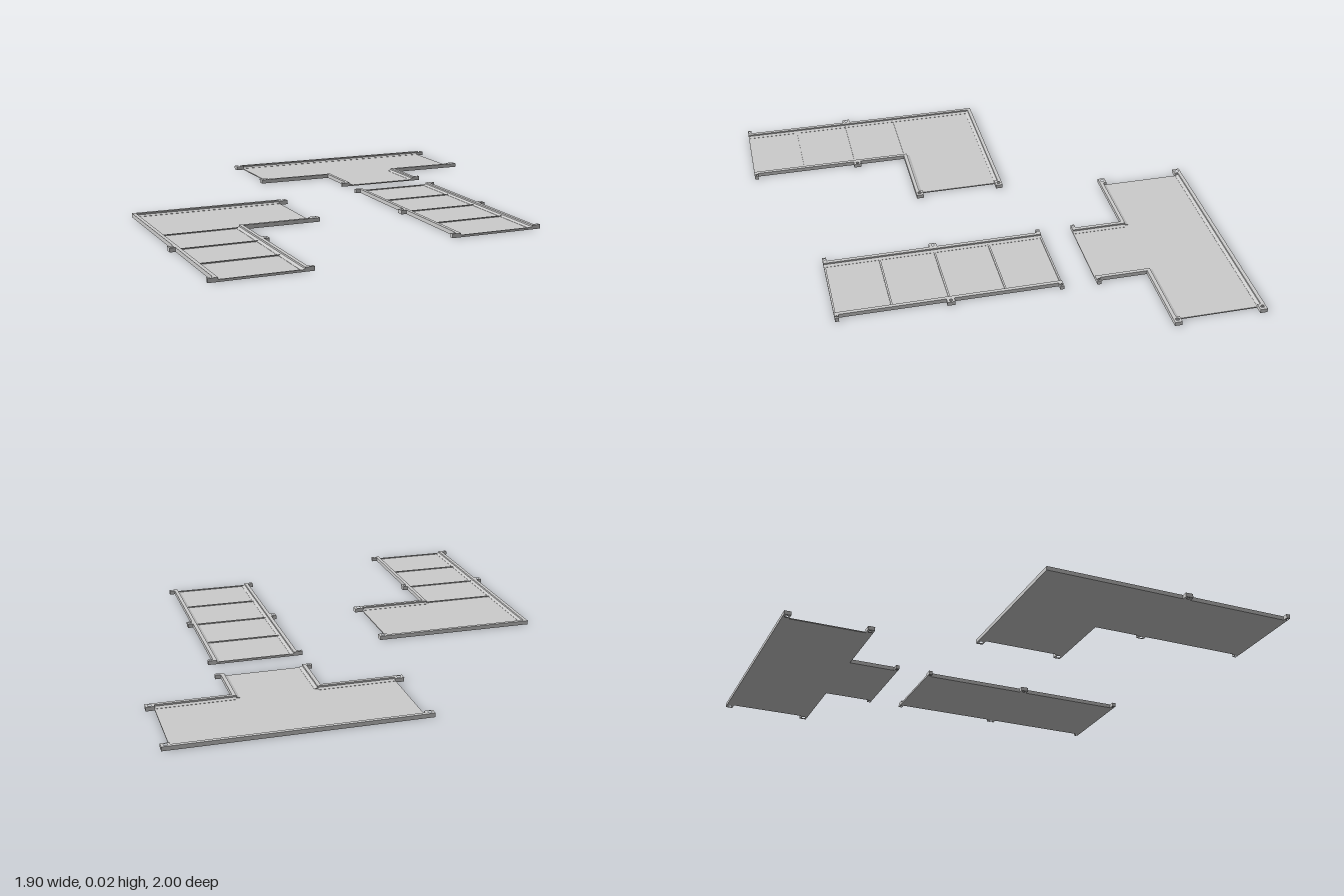
import * as THREE from 'three';

const H = 0.018;      // rail and tab height
const FLOOR = 0.005;  // floor thickness
const mat = new THREE.MeshStandardMaterial({ color: 0xcccccc, flatShading: true });

function add(group, name, geo) {
  const mesh = new THREE.Mesh(geo, mat);
  mesh.name = name;
  group.add(mesh);
  return mesh;
}

// Horizontal plate from [x, z] corners, with optional round hole
function plate(points, height, hole) {
  const shape = new THREE.Shape(points.map(([x, z]) => new THREE.Vector2(x, -z)));
  if (hole) {
    const path = new THREE.Path();
    path.absarc(hole.x, -hole.z, hole.r, 0, Math.PI * 2, true);
    shape.holes.push(path);
  }
  return new THREE.ExtrudeGeometry(shape, { depth: height, bevelEnabled: false, curveSegments: 8 })
    .rotateX(-Math.PI / 2);
}

// Side rail from a to b; its sloped foot lies on the inner side of the tray
function rail(group, a, b) {
  const dx = b[0] - a[0], dz = b[1] - a[1];
  const profile = new THREE.Shape([
    [0, 0.001], [0.03, 0.001], [0.03, FLOOR + 0.001], [0.016, 0.011], [0.016, H], [0, H],
  ].map(([x, y]) => new THREE.Vector2(x, y)));
  const geo = new THREE.ExtrudeGeometry(profile, { depth: Math.hypot(dx, dz), bevelEnabled: false });
  const mesh = add(group, 'sideRail', geo);
  mesh.rotation.y = Math.atan2(dx, dz);
  mesh.position.set(a[0], 0, a[1]);
}

// Connector tab with a vertical screw hole
function tab(group, x0, x1, z0, z1) {
  const hole = { x: (x0 + x1) / 2, z: (z0 + z1) / 2, r: 0.26 * Math.min(x1 - x0, z1 - z0) };
  add(group, 'connectorTab', plate([[x0, z0], [x1, z0], [x1, z1], [x0, z1]], H, hole));
}

// Low rib across the floor
function rib(group, x0, x1, z) {
  add(group, 'crossRib', new THREE.BoxGeometry(x1 - x0, 0.005, 0.008))
    .position.set((x0 + x1) / 2, FLOOR + 0.0015, z);
}

// A tray: floor outline, rails along the listed runs
function tray(name, outline, rails) {
  const group = new THREE.Group();
  group.name = name;
  add(group, 'floor', plate(outline, FLOOR));
  rails.forEach(([a, b]) => rail(group, a, b));
  return group;
}

// Pair of tabs on the two sides of a lengthwise channel
function sideTabs(group, x0, x1, z0, z1) {
  tab(group, x0 - 0.024, x0 + 0.002, z0, z1);
  tab(group, x1 - 0.002, x1 + 0.024, z0, z1);
}

function straightTray() {
  const x0 = 0.212, x1 = 0.588, z0 = -0.215, z1 = 0.767;
  const g = tray('straightTray', [[x0, z0], [x0, z1], [x1, z1], [x1, z0]],
    [[[x0, z0], [x0, z1]], [[x1, z1], [x1, z0]]]);
  const step = (z1 - z0) / 4;
  for (let i = 0; i <= 4; i++) {
    const inset = i === 0 ? 0.004 : i === 4 ? -0.004 : 0;
    rib(g, x0 + 0.01, x1 - 0.01, z0 + i * step + inset);
  }
  sideTabs(g, x0, x1, z0, z0 + 0.017);
  sideTabs(g, x0, x1, 0.259, 0.293);
  sideTabs(g, x0, x1, z1 - 0.017, z1);
  return g;
}

function cornerTray() {
  const x0 = -0.928, x1 = -0.552, xe = -0.237, z0 = -0.14, zi = 0.273, z1 = 1;
  const g = tray('cornerTray',
    [[x0, z0], [x0, z1], [x1, z1], [x1, zi], [xe, zi], [xe, z0]],
    [[[x0, z0], [x0, z1]], [[x1, z1], [x1, zi - 0.016]],
      [[x1 - 0.016, zi], [xe, zi]], [[xe, z0], [x0, z0]]]);
  for (const z of [0.265, 0.51, 0.755, 0.996]) rib(g, x0 + 0.01, x1 - 0.01, z);
  sideTabs(g, x0, x1, 0.487, 0.521);
  sideTabs(g, x0, x1, z1 - 0.017, z1);
  tab(g, xe - 0.002, xe + 0.038, z0, z0 + 0.032);
  tab(g, xe - 0.002, xe + 0.038, zi - 0.032, zi);
  return g;
}

function teeTray() {
  const x0 = -0.108, x1 = 0.912, s0 = 0.214, s1 = 0.59, z0 = -1, zi = -0.593, z1 = -0.362;
  const g = tray('teeTray',
    [[x0, z0], [x0, zi], [s0, zi], [s0, z1], [s1, z1], [s1, zi], [x1, zi], [x1, z0]],
    [[[x1, z0], [x0, z0]], [[x0, zi], [s0 + 0.016, zi]], [[s0, zi - 0.016], [s0, z1]],
      [[s1, z1], [s1, zi - 0.016]], [[s1 - 0.016, zi], [x1, zi]]]);
  for (const z of [z0, zi - 0.032]) {
    tab(g, x0 - 0.036, x0 + 0.002, z, z + 0.032);
    tab(g, x1 - 0.002, x1 + 0.036, z, z + 0.032);
  }
  sideTabs(g, s0, s1, z1 - 0.017, z1);
  return g;
}

export function createModel() {
  const model = new THREE.Group();
  model.name = 'cableTraySet';
  model.add(straightTray(), cornerTray(), teeTray());
  return model;
}
